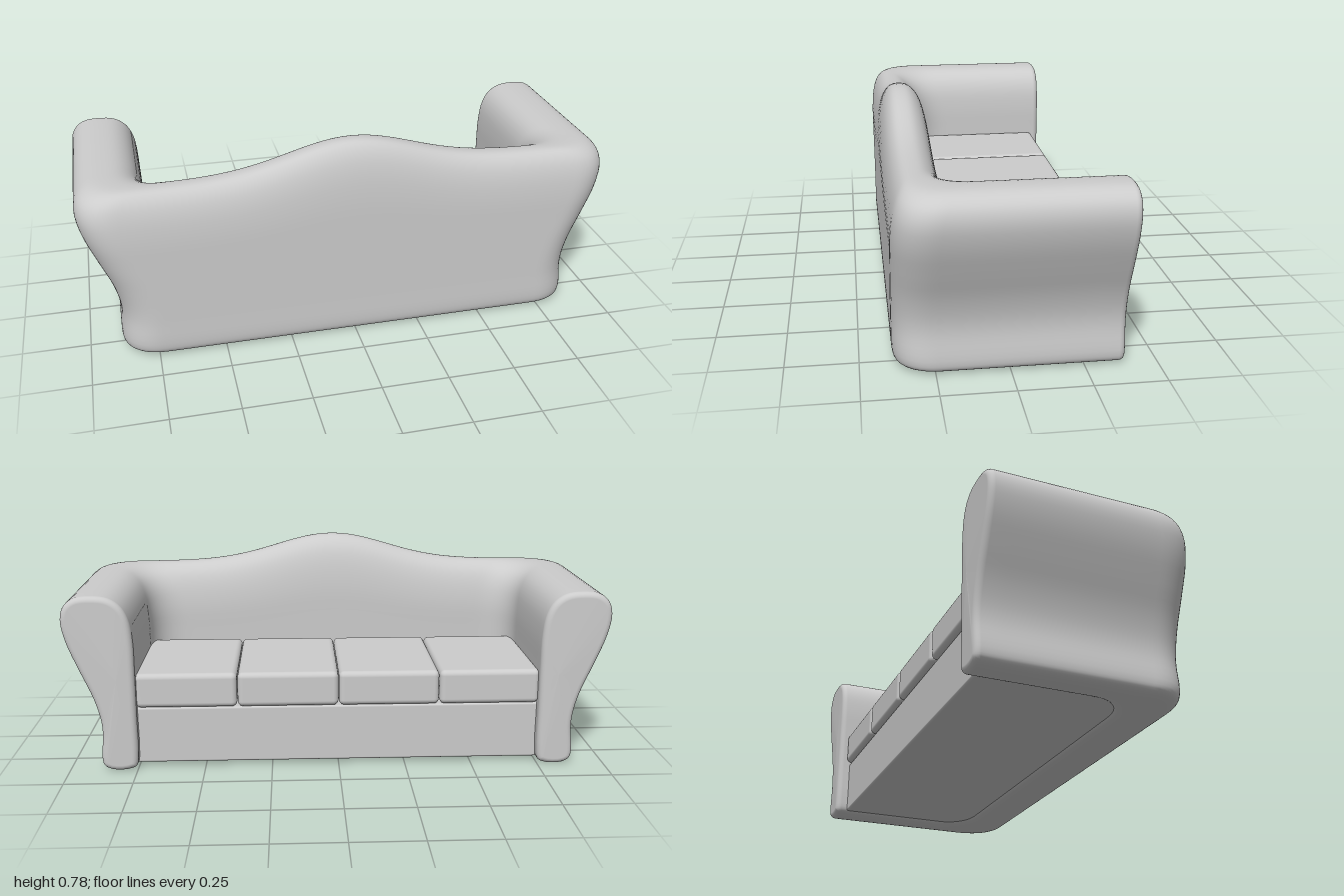
import * as THREE from 'three';
import { RoundedBoxGeometry } from 'three/addons/geometries/RoundedBoxGeometry.js';

const material = new THREE.MeshStandardMaterial({ color: 0xcccccc });

// Cross-section of the shell: [side x on the arms, z on the back, height]
const PROFILE = [
  [0.746, 0.2, 0.2], [0.745, 0.198, 0.38], [0.746, 0.198, 0.49], [0.757, 0.21, 0.57],
  [0.782, 0.23, 0.62], [0.825, 0.262, 0.651], [0.885, 0.298, 0.66], [0.95, 0.338, 0.652],
  [0.988, 0.364, 0.62], [1.0, 0.38, 0.57], [0.985, 0.389, 0.49], [0.942, 0.39, 0.38],
  [0.9, 0.39, 0.28], [0.878, 0.39, 0.2], [0.873, 0.39, 0.14], [0.88, 0.39, 0.05],
  [0.874, 0.383, 0.018], [0.85, 0.36, 0.002], [0.775, 0.228, 0.002], [0.752, 0.207, 0.015],
  [0.746, 0.2, 0.06],
];

// Crest in the middle of the back, fading out towards the seat
const crest = (x, y) =>
  0.114 * Math.exp(-0.5 * (x / 0.23) ** 2) * THREE.MathUtils.clamp((y - 0.2) / 0.46, 0, 1);

// Arms and back: one cross-section swept along a U, closed by bevelled arm fronts
function shellGeometry() {
  const curve = new THREE.CatmullRomCurve3(PROFILE.map((p) => new THREE.Vector3(...p)), true);
  const n = 80, radius = 0.15, front = -0.365;
  const section = curve.getPoints(n).slice(0, n);
  const half = [];
  const addRing = (fn) => half.push(section.map(fn));

  // Slightly domed arm front, closed to its middle
  addRing(() => [0.81, 0.35, -0.391]);
  // Rounded rim around the arm front, stepped inwards along the section's normal
  for (let i = 5; i > 0; i--) {
    const a = (i / 5) * Math.PI / 2, inset = 0.022 * (1 - Math.cos(a));
    addRing((p, j) => {
      const before = section[(j + n - 1) % n], after = section[(j + 1) % n];
      const dx = after.x - before.x, dy = after.z - before.z, length = Math.hypot(dx, dy);
      return [p.x + (dy / length) * inset, p.z - (dx / length) * inset, front - 0.022 * Math.sin(a)];
    });
  }
  // Straight arm
  for (let i = 0; i < 8; i++) {
    addRing((p) => [p.x, p.z, THREE.MathUtils.lerp(front, p.y - radius, i / 8)]);
  }
  // Full, rounded corner
  for (let i = 0; i < 14; i++) {
    const a = (i / 14) * Math.PI / 2;
    const c = Math.cos(a) ** 0.85, s = Math.sin(a) ** 0.85;
    addRing((p) => [p.x - radius * (1 - c), p.z, p.y - radius * (1 - s)]);
  }
  // Back as far as the middle
  for (let i = 0; i <= 20; i++) {
    addRing((p) => [(p.x - radius) * (1 - i / 20), p.z, p.y]);
  }

  const mirrored = half.slice(0, -1).reverse().map((r) => r.map(([x, y, z]) => [-x, y, z]));
  const rings = [...half, ...mirrored];
  const positions = rings.flat().flatMap(([x, y, z]) => [x, y + (z > 0 ? crest(x, y) : 0), z]);
  const index = [];
  for (let i = 0; i < rings.length - 1; i++) {
    for (let j = 0; j < n; j++) {
      const k = (j + 1) % n;
      const a = i * n + j, b = a + n, c = i * n + k, d = c + n;
      index.push(a, b, c, b, d, c);
    }
  }
  const geometry = new THREE.BufferGeometry();
  geometry.setAttribute('position', new THREE.Float32BufferAttribute(positions, 3));
  geometry.setIndex(index);
  geometry.computeVertexNormals();
  return geometry;
}

export function createModel() {
  const group = new THREE.Group();
  const add = (name, geometry, x = 0, y = 0, z = 0) => {
    const mesh = new THREE.Mesh(geometry, material);
    mesh.name = name;
    mesh.position.set(x, y, z);
    group.add(mesh);
  };

  add('armsAndBack', shellGeometry());

  // Base under the seat
  add('seatBase', new RoundedBoxGeometry(1.51, 0.215, 0.58, 2, 0.008), 0, 0.12, -0.05);

  // Row of four seat cushions
  const width = 0.376;
  const cushion = new RoundedBoxGeometry(width - 0.002, 0.13, 0.51, 5, 0.02);
  for (let i = 0; i < 4; i++) {
    add(`seatCushion${i + 1}`, cushion, (i - 1.5) * width, 0.295, -0.1);
  }
  return group;
}
